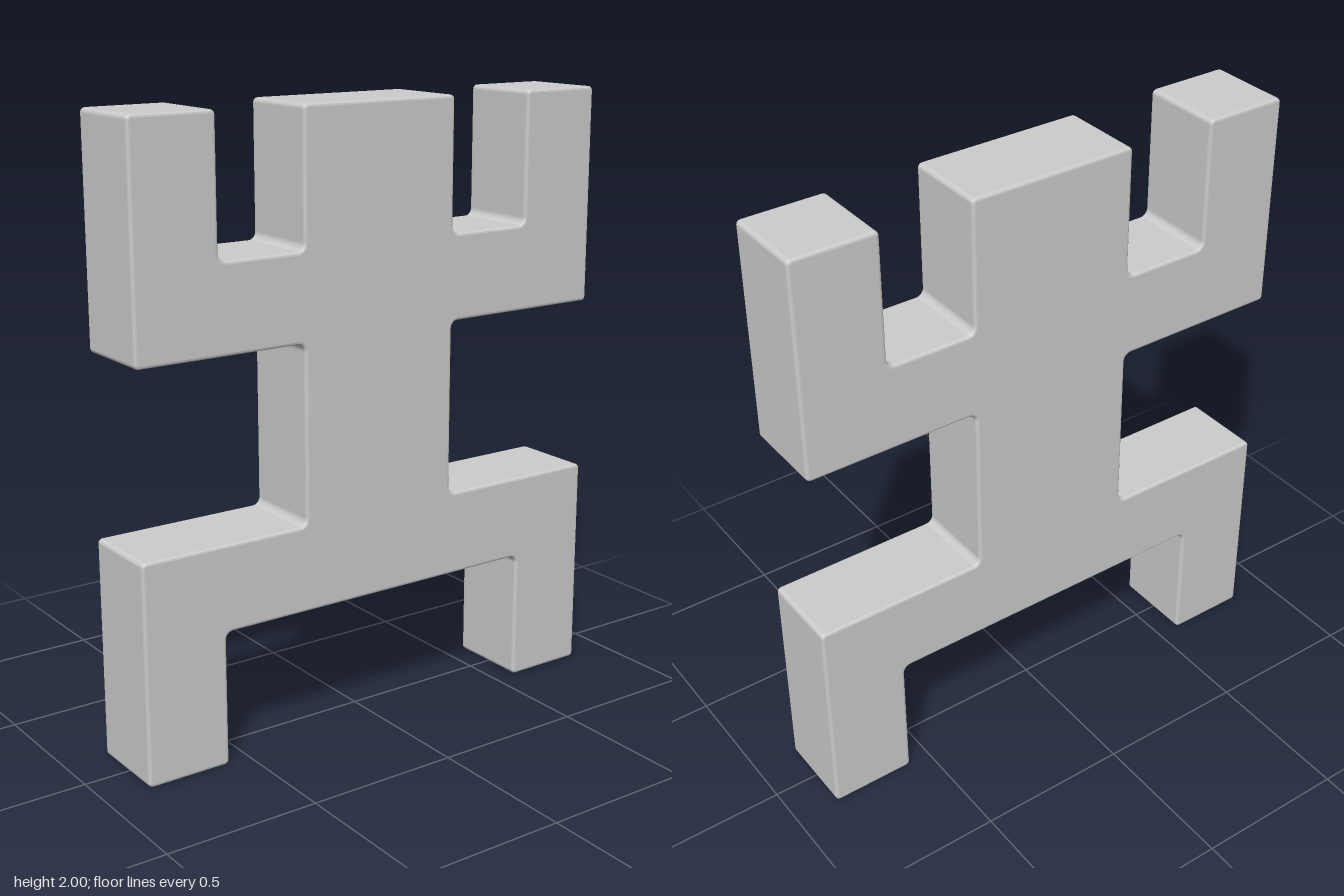
import * as THREE from 'three';

const DEPTH = 0.28, BEVEL = 0.01;
const CONVEX_RADIUS = 0.015, CONCAVE_RADIUS = 0.025;

// Closed counter-clockwise outline with every corner rounded, inner corners more softly
function roundedOutline(points) {
  const shape = new THREE.Shape();
  const n = points.length;
  points.forEach((p, i) => {
    const toPrev = points[(i + n - 1) % n].clone().sub(p).normalize();
    const toNext = points[(i + 1) % n].clone().sub(p).normalize();
    const convex = toNext.cross(toPrev) > 0;
    const r = convex ? CONVEX_RADIUS : CONCAVE_RADIUS;
    const center = p.clone().addScaledVector(toPrev, r).addScaledVector(toNext, r);
    const startAngle = Math.atan2(-toNext.y, -toNext.x);
    const endAngle = Math.atan2(-toPrev.y, -toPrev.x);
    shape.absarc(center.x, center.y, r, startAngle, endAngle, !convex);
  });
  shape.closePath();
  return shape;
}

export function createModel() {
  const group = new THREE.Group();
  group.name = 'blockFigure';

  // Left half of the silhouette, from the crotch up to the head
  const half = [
    [0.575, 0.435], [0.575, 0], [0.855, 0], [0.855, 0.715],       // leg and hip
    [0.28, 0.715], [0.28, 1.29],                                  // waist
    [0.855, 1.29], [0.855, 2], [0.575, 2], [0.575, 1.57],         // raised arm
    [0.28, 1.57], [0.28, 2],                                      // head
  ].map(([x, y]) => new THREE.Vector2(x, y));
  const mirrored = half.map(p => new THREE.Vector2(-p.x, p.y)).reverse();

  // One solid slab with softened front and back edges
  const geometry = new THREE.ExtrudeGeometry(roundedOutline([...half, ...mirrored]), {
    depth: DEPTH - 2 * BEVEL,
    curveSegments: 4,
    bevelThickness: BEVEL,
    bevelSize: BEVEL,
    bevelOffset: -BEVEL,
    bevelSegments: 3,
  });
  geometry.translate(0, 0, BEVEL - DEPTH / 2);

  const body = new THREE.Mesh(geometry, new THREE.MeshStandardMaterial({ color: 0xcccccc }));
  body.name = 'body';
  group.add(body);
  return group;
}
